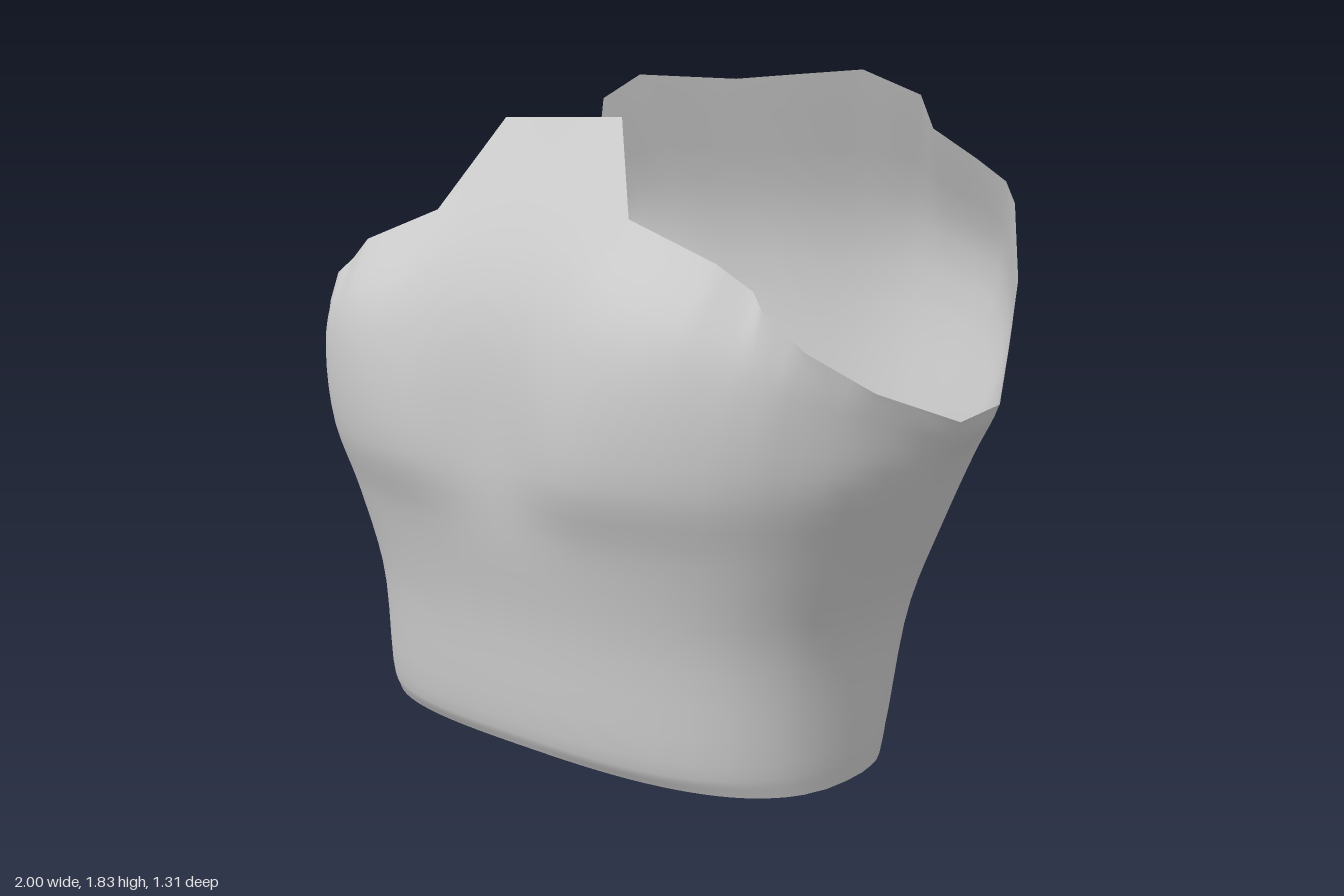
import * as THREE from 'three';

// Half outlines, from the front centre round the left side to the back centre.
const rimHalf = [
  [0, 1.70, .32], [.2, 1.70, .32], [.33, 1.46, .45], [.6, 1.37, .462], [.69, 1.31, .44],
  [.73, 1.27, .462], [.82, 1.18, .42], [.92, 1.08, .28], [1, .985, .02], [1, 1.0, -.18],
  [.91, 1.11, -.40], [.9, 1.28, -.457], [.885, 1.48, -.45], [.85, 1.535, -.465],
  [.75, 1.59, -.495], [.6, 1.67, -.52], [.57, 1.76, -.50], [.4, 1.83, -.475],
  [.2, 1.82, -.445], [0, 1.81, -.43],
];
const chestHalf = [
  [0, 1.25, .565], [.2, 1.24, .59], [.38, 1.2, .615], [.56, 1.17, .585], [.67, 1.14, .54],
  [.73, 1.11, .51], [.80, 1.07, .455], [.9, 1.01, .30], [.982, .945, .02], [.978, .955, -.18],
  [.89, 1.02, -.41], [.86, 1.12, -.49], [.81, 1.23, -.55], [.78, 1.27, -.575],
  [.71, 1.3, -.61], [.57, 1.34, -.65], [.49, 1.36, -.655], [.33, 1.36, -.642],
  [.17, 1.36, -.615], [0, 1.36, -.597],
];
// Body sections: height, half width, front depth, back depth, front groove, back groove,
// front squareness, back squareness
const levels = [
  [.04, .752, .495, .43, 0, 0, 2.9, 2.0],
  [.10, .757, .52, .455, .005, .005, 2.9, 2.1],
  [.42, .775, .555, .54, .01, .03, 2.8, 2.5],
  [.66, .855, .605, .595, .02, .04, 2.7, 2.6],
  [.86, .938, .675, .63, .075, .05, 2.5, 2.6],
];
const SUB = 3, ROWS = 26;

// Mirror a half outline into a closed loop of points
function fullLoop(half) {
  const left = half.map((p) => new THREE.Vector3(...p));
  const right = left.slice(1, -1).reverse().map((p) => new THREE.Vector3(-p.x, p.y, p.z));
  return [...left, ...right];
}

// Point on a rounded body section, in the direction of a chest point
function sectionPoint(level, dir, isHem) {
  const [y, width, front, back, dipFront, dipBack, nFront, nBack] = level;
  const isFront = dir.z > 0;
  const n = isFront ? nFront : nBack;
  const ax = Math.abs(dir.x) / .98, az = Math.abs(dir.z) / .65;
  const k = Math.pow(Math.pow(ax, n) + Math.pow(az, n), -1 / n);
  const x = Math.sign(dir.x) * ax * k * width;
  const groove = Math.exp(-((x / .22) ** 2));
  const z = isFront ? az * k * front - dipFront * groove : -az * k * back + dipBack * groove;
  let h = y;
  if (isHem) {
    const a = Math.abs(x);
    if (isFront) h = .03 + .027 * (az * k) ** 2;
    else h = a < .4 ? .035 - .035 * a / .4 : Math.min(.033, (a - .4) * .5);
  }
  return new THREE.Vector3(x, h, z);
}

function createShellGeometry() {
  const rim = fullLoop(rimHalf);
  const chest = new THREE.CatmullRomCurve3(fullLoop(chestHalf), true, 'centripetal');
  const columns = rim.length * SUB;
  const positions = [], index = [];
  for (let c = 0; c < columns; c++) {
    // Each column rises from the hem through the body sections and chest to the rim
    const i = Math.floor(c / SUB);
    const top = rim[i].clone().lerp(rim[(i + 1) % rim.length], (c % SUB) / SUB);
    const mid = chest.getPoint(c / columns);
    const points = levels.map((level, j) => sectionPoint(level, mid, j === 0));
    const column = new THREE.CatmullRomCurve3([...points, mid, top], false, 'centripetal');
    for (let r = 0; r <= ROWS; r++) {
      const p = column.getPoint(r / ROWS);
      positions.push(p.x, p.y, p.z);
      if (r === ROWS) continue;
      const a = c * (ROWS + 1) + r, b = ((c + 1) % columns) * (ROWS + 1) + r;
      index.push(a, b, a + 1, b, b + 1, a + 1);
    }
  }
  const geometry = new THREE.BufferGeometry();
  geometry.setAttribute('position', new THREE.Float32BufferAttribute(positions, 3));
  geometry.setIndex(index);
  geometry.computeVertexNormals();
  return geometry;
}

export function createModel() {
  const group = new THREE.Group();
  group.name = 'torsoArmour';
  const material = new THREE.MeshStandardMaterial({ color: 0xcccccc, side: THREE.DoubleSide });
  material.name = 'light grey';
  const shell = new THREE.Mesh(createShellGeometry(), material);
  shell.name = 'torsoShell';
  group.add(shell);
  return group;
}
